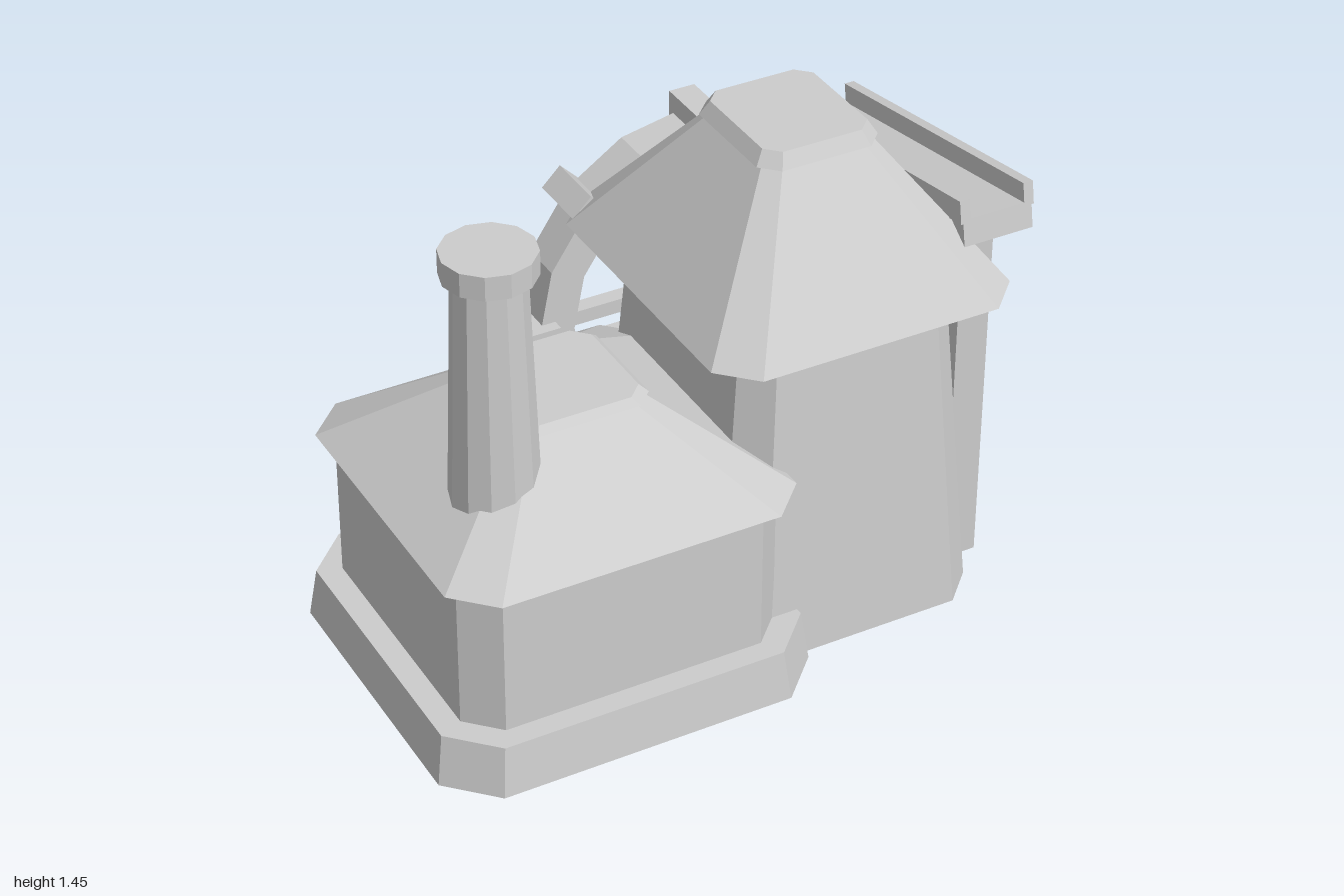
import * as THREE from 'three';

export function createModel() {
  const model = new THREE.Group();
  const stone = new THREE.MeshStandardMaterial({ color: 0xcccccc, flatShading: true, side: THREE.DoubleSide });
  stone.name = 'pale grey';

  const add = (name, geo, x = 0, y = 0, z = 0, parent = model) => {
    const m = new THREE.Mesh(geo, stone);
    m.name = name;
    m.position.set(x, y, z);
    parent.add(m);
    return m;
  };
  // box given by its minimum and maximum corners
  const box = (name, x0, x1, y0, y1, z0, z1, parent = model) =>
    add(name, new THREE.BoxGeometry(x1 - x0, y1 - y0, z1 - z0),
      (x0 + x1) / 2, (y0 + y1) / 2, (z0 + z1) / 2, parent);

  // rectangle with cut corners, as [x, z] points
  const octagon = (hx, hz, c) => [
    [hx, -hz + c], [hx, hz - c], [hx - c, hz], [-hx + c, hz],
    [-hx, hz - c], [-hx, -hz + c], [-hx + c, -hz], [hx - c, -hz]];

  // stacked octagons; each section is [y, half x, half z, corner cut]; shells on the ground are open below
  function stack(name, cx, cz, sections) {
    const pos = [];
    const rings = sections.map(([y, hx, hz, c]) => octagon(hx, hz, c).map(([x, z]) => [x, y, z]));
    const tri = (a, b, c) => pos.push(...a, ...b, ...c);
    for (let s = 0; s + 1 < rings.length; s++) {
      const a = rings[s], b = rings[s + 1];
      for (let i = 0; i < 8; i++) {
        const j = (i + 1) % 8;
        tri(a[i], b[i], a[j]);
        tri(b[i], b[j], a[j]);
      }
    }
    const bottom = rings[0], top = rings[rings.length - 1];
    for (let i = 1; i < 7; i++) {
      if (sections[0][0] > 0) tri(bottom[0], bottom[i], bottom[i + 1]);
      tri(top[0], top[i + 1], top[i]);
    }
    const geo = new THREE.BufferGeometry();
    geo.setAttribute('position', new THREE.Float32BufferAttribute(pos, 3));
    geo.computeVertexNormals();
    return add(name, geo, cx, 0, cz);
  }

  // low house
  const hx = -0.435, hz = 0.285;
  stack('houseBase', hx, 0.289, [[0, 0.565, 0.546, 0.13], [0.15, 0.545, 0.526, 0.125]]);
  stack('houseWalls', hx, hz, [[0.15, 0.475, 0.465, 0.09], [0.6, 0.475, 0.465, 0.09]]);
  stack('houseRoof', hx, hz, [[0.6, 0.52, 0.515, 0.11], [0.845, 0.19, 0.18, 0.04]]);
  stack('houseRoofCap', hx, hz, [[0.845, 0.21, 0.2, 0.05], [0.865, 0.188, 0.178, 0.045]]);

  // chimney
  add('chimney', new THREE.CylinderGeometry(0.1, 0.128, 0.8, 12), -0.7, 0.99, 0.47);
  add('chimneyCap', new THREE.CylinderGeometry(0.13, 0.13, 0.07, 12), -0.7, 1.418, 0.47);

  // back door, with frame, knob, lamp and window
  box('door', -0.6, -0.25, 0.13, 0.47, -0.2, -0.17);
  for (const x of [-0.61, -0.25]) box('doorPost', x - 0.02, x + 0.02, 0.12, 0.47, -0.235, -0.17);
  box('doorLintel', -0.645, -0.215, 0.47, 0.51, -0.24, -0.17);
  add('doorKnob', new THREE.CylinderGeometry(0.03, 0.03, 0.03, 8).rotateX(Math.PI / 2), -0.45, 0.37, -0.205);
  add('doorLamp', new THREE.CylinderGeometry(0.045, 0.045, 0.04, 8).rotateX(Math.PI / 2), -0.44, 0.56, -0.188);
  box('window', -0.81, -0.68, 0.33, 0.43, -0.19, -0.17);

  // mill tower
  const tx = 0.31, tz = 0.23;
  stack('towerWalls', tx, tz, [[0, 0.4, 0.45, 0.095], [1, 0.32, 0.38, 0.075]]);
  stack('towerRoof', tx, 0.225, [[1, 0.46, 0.51, 0.1], [1.405, 0.165, 0.185, 0.04]]);
  stack('towerRoofCap', tx, 0.222, [[1.405, 0.185, 0.205, 0.05], [1.447, 0.16, 0.18, 0.04]]);

  // water wheel
  const wheel = new THREE.Group();
  wheel.name = 'waterWheel';
  wheel.position.set(0.31, 0.63, -0.275);
  model.add(wheel);
  const circle = r => Array.from({ length: 16 }, (_, i) =>
    new THREE.Vector2(r * Math.cos(i * Math.PI / 8), r * Math.sin(i * Math.PI / 8)));
  const rim = new THREE.Shape(circle(0.535));
  rim.holes.push(new THREE.Path(circle(0.425)));
  add('wheelRim', new THREE.ExtrudeGeometry(rim, { depth: 0.13, bevelEnabled: false }), 0, 0, -0.065, wheel);
  for (let i = 0; i < 8; i++) {
    const arm = new THREE.Group();
    arm.name = 'wheelArm';
    arm.rotation.z = i * Math.PI / 4;
    wheel.add(arm);
    box('spoke', 0.03, 0.44, -0.022, 0.022, -0.025, 0.025, arm);
    box('paddle', 0.485, 0.587, -0.04, 0.04, -0.088, 0.1, arm);
  }
  // hub discs and axle: [name, radius, back z, front z]
  for (const [name, r, z0, z1] of [
    ['axle', 0.05, -0.39, -0.05], ['hub', 0.09, -0.36, -0.19],
    ['hubDisc', 0.123, -0.41, -0.38], ['hubPlate', 0.07, -0.424, -0.4], ['axleEnd', 0.03, -0.435, -0.42]])
    add(name, new THREE.CylinderGeometry(r, r, z1 - z0, 12).rotateX(Math.PI / 2),
      0, 0, (z0 + z1) / 2 + 0.275, wheel);

  // sloping trough on posts
  const trough = new THREE.Group();
  trough.name = 'trough';
  trough.position.set(0.755, 1.105, 0.12);
  trough.rotation.x = -0.174;
  model.add(trough);
  box('troughFloor', -0.108, 0.108, -0.067, 0.01, -0.467, 0.467, trough);
  for (const s of [-1, 1]) box('troughRail', s * 0.1 - 0.015, s * 0.1 + 0.015, 0, 0.067, -0.467, 0.467, trough);
  box('frontPost', 0.7, 0.8, 0, 1.1, 0.4, 0.5);
  box('backPost', 0.7, 0.8, 0, 1.02, -0.1, 0);

  // basin below the wheel: hollow bed and walls
  stack('basinBed', 0.295, -0.435, [[0, 0.622, 0.357, 0.045], [0.08, 0.622, 0.357, 0.045]]);
  box('basinLeftWall', 0.915, 1, 0, 0.133, -0.838, -0.08);
  box('basinRightWall', -0.37, -0.29, 0, 0.133, -0.838, -0.2);
  box('basinBackWall', -0.37, 0.74, 0, 0.133, -0.838, -0.77);

  return model;
}
